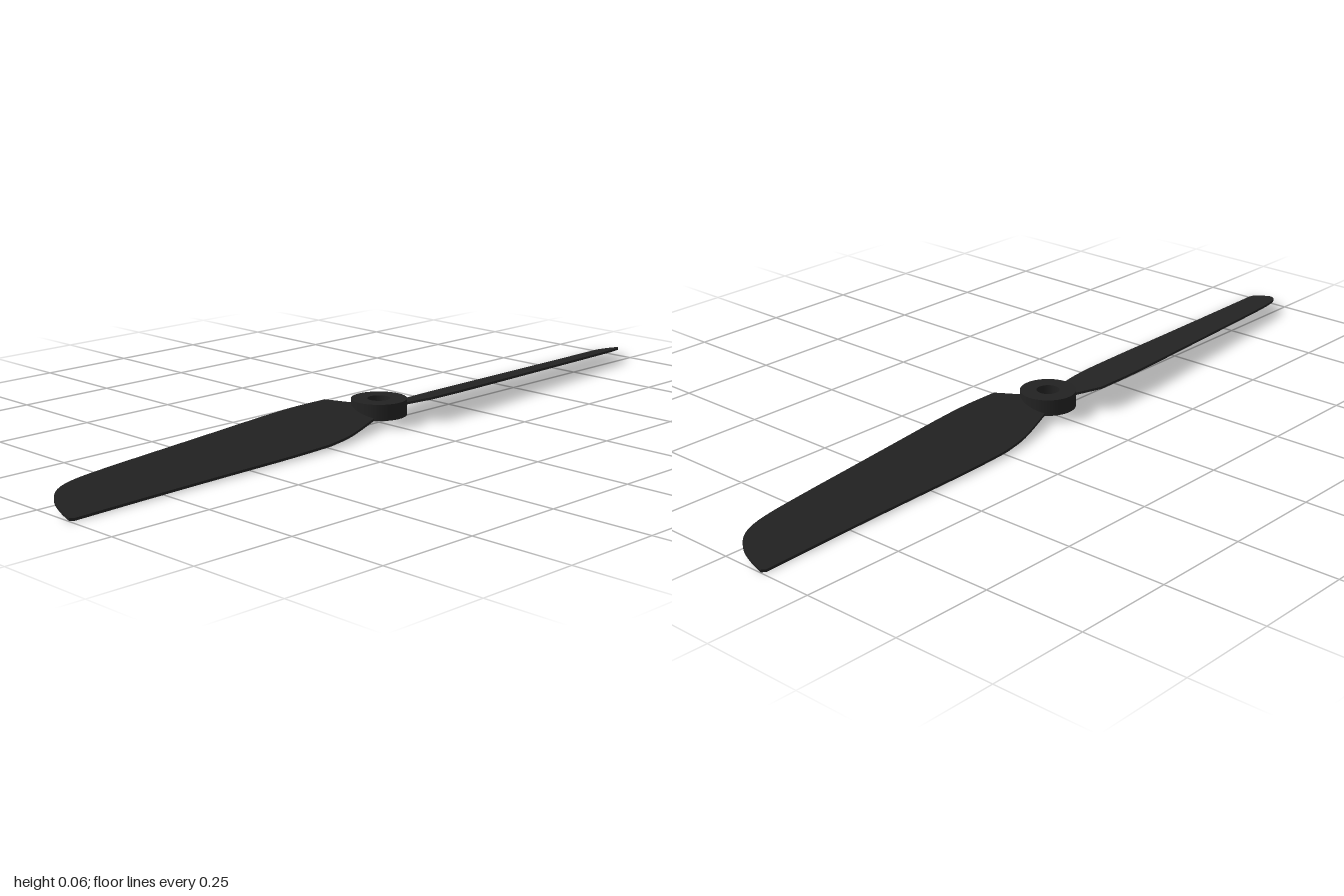
import * as THREE from 'three';

export function createModel() {
  const group = new THREE.Group();
  group.name = 'propeller';
  const material = new THREE.MeshStandardMaterial({ color: 0x222222 });

  // Hub: a ring with a through hole for the shaft
  const hubShape = new THREE.Shape().absarc(0, 0, 0.068, 0, Math.PI * 2);
  hubShape.holes.push(new THREE.Path().absarc(0, 0, 0.028, 0, Math.PI * 2, true));
  const hubGeometry = new THREE.ExtrudeGeometry(hubShape, { depth: 0.04, bevelEnabled: false, curveSegments: 32 });
  hubGeometry.rotateX(-Math.PI / 2).translate(0, 0.02, 0);
  const hub = new THREE.Mesh(hubGeometry, material);
  hub.name = 'hub';
  group.add(hub);

  // Blade outline from above, drawn in x and -z
  const points = (list) => list.map(([x, y]) => new THREE.Vector2(x, y));
  const outline = new THREE.Shape();
  outline.moveTo(0.045, -0.045);
  outline.lineTo(0.1, -0.085);
  // trailing edge and rounded tip
  outline.splineThru(points([
    [0.2, -0.084], [0.3, -0.077], [0.45, -0.062], [0.6, -0.047], [0.75, -0.032], [0.87, -0.018],
    [0.93, -0.004], [0.965, 0.016], [0.987, 0.045], [0.997, 0.08], [1, 0.11],
  ]));
  // leading edge back to the root
  outline.lineTo(0.99, 0.115);
  outline.splineThru(points([
    [0.8, 0.109], [0.6, 0.104], [0.4, 0.1], [0.28, 0.095], [0.23, 0.09], [0.16, 0.075], [0.045, 0.035],
  ]));

  // Thin flat plate, pitched by raising y along z
  const bladeGeometry = new THREE.ExtrudeGeometry(outline, { depth: 0.006, bevelEnabled: false, curveSegments: 4 });
  bladeGeometry.rotateX(-Math.PI / 2);
  bladeGeometry.applyMatrix4(new THREE.Matrix4().set(
    1, 0, 0, 0,
    0, 1, 0.27, 0.031,
    0, 0, 1, 0,
    0, 0, 0, 1,
  ));

  // Two blades, half a turn apart
  ['leftBlade', 'rightBlade'].forEach((name, i) => {
    const blade = new THREE.Mesh(bladeGeometry, material);
    blade.name = name;
    blade.rotation.y = i * Math.PI;
    group.add(blade);
  });

  return group;
}
